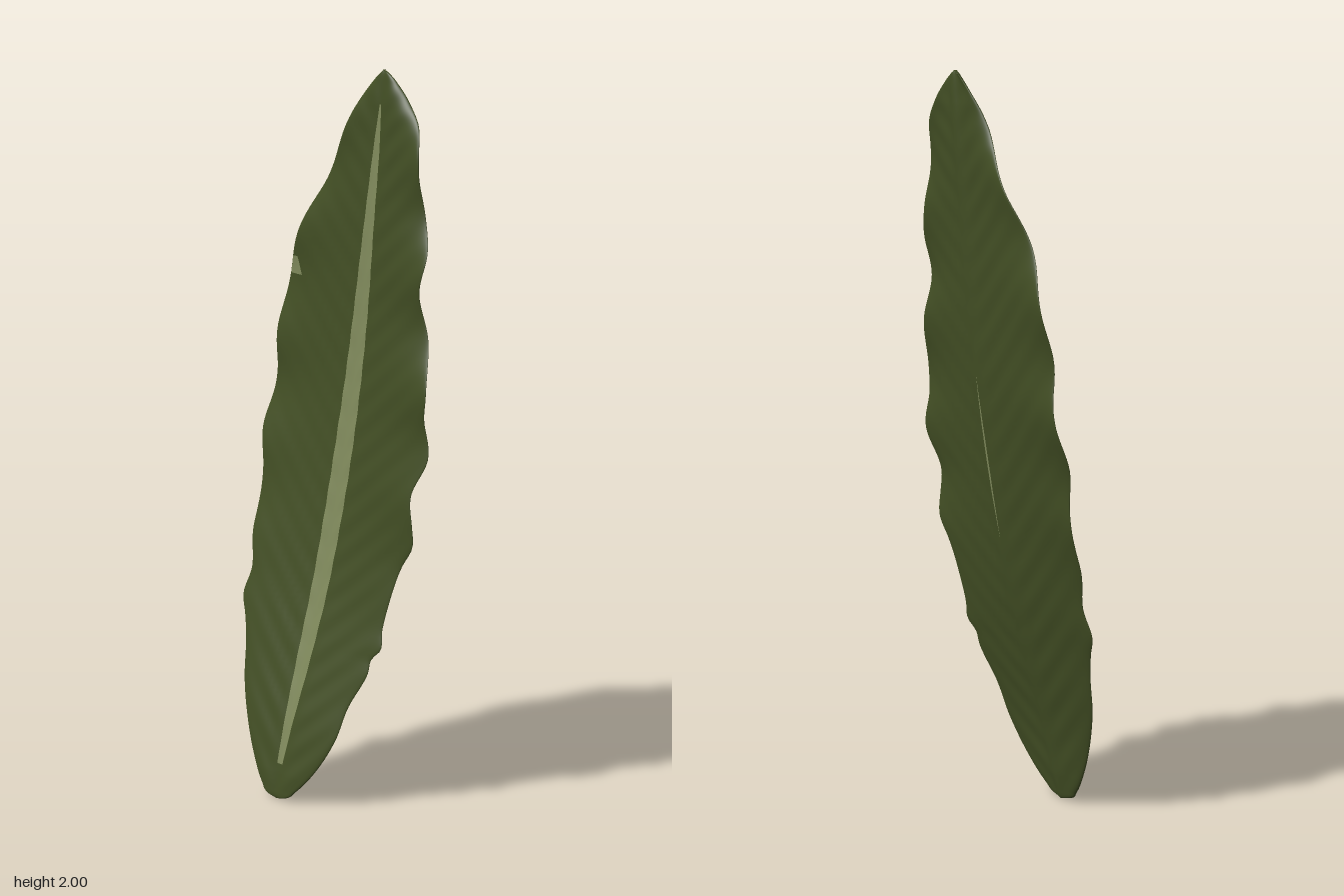
import * as THREE from 'three';

// Smooth lookup through rows of [y, value, value...]
function track(rows) {
  const n = rows[0].length - 1;
  const curve = new THREE.CubicInterpolant(rows.map(r => r[0]), rows.flatMap(r => r.slice(1)), n, new Float32Array(n));
  return y => Array.from(curve.evaluate(y));
}

// Leaf outline: height, left-hand x, right-hand x
const outline = track([
  [0, -0.085, -0.085], [0.008, -0.12, -0.05], [0.03, -0.145, -0.02], [0.1, -0.19, 0.045], [0.2, -0.235, 0.105],
  [0.3, -0.268, 0.135], [0.4, -0.285, 0.185], [0.44, -0.295, 0.19], [0.47, -0.305, 0.218], [0.52, -0.325, 0.215],
  [0.6, -0.307, 0.23], [0.7, -0.325, 0.26], [0.76, -0.325, 0.295], [0.82, -0.325, 0.295], [0.9, -0.325, 0.29],
  [1, -0.34, 0.333], [1.1, -0.325, 0.322], [1.17, -0.312, 0.333], [1.3, -0.303, 0.31], [1.42, -0.28, 0.283],
  [1.53, -0.235, 0.305], [1.62, -0.185, 0.28], [1.7, -0.13, 0.267], [1.8, -0.065, 0.262], [1.86, -0.028, 0.245],
  [1.91, 0.005, 0.205], [1.96, 0.045, 0.16], [1.99, 0.08, 0.125], [2, 0.1, 0.1],
]);
// Backward bend of the blade
const bend = track([[0, 0.125], [0.2, 0.09], [0.4, 0.045], [0.6, 0.003], [0.8, -0.027], [1, -0.05],
  [1.2, -0.067], [1.4, -0.077], [1.6, -0.083], [1.8, -0.091], [2, -0.095]]);
// Half-width of the pale midrib
const ribWidth = track([[0.1, 0.01], [0.2, 0.015], [0.4, 0.025], [0.7, 0.033], [1, 0.036], [1.4, 0.028],
  [1.6, 0.02], [1.8, 0.012], [1.91, 0.003]]);
const ribX = y => -0.09 + 0.1 * y + 0.008 * Math.sin(Math.PI * y / 2);

// Depth of the blade at x, y; side is 1 for the front and -1 for the back
function depth(x, y, side) {
  const [l, r] = outline(y);
  const w = Math.max(r - l, 1e-4);
  const s = THREE.MathUtils.clamp(2 * (x - l) / w - 1, -1, 1);
  const d = x - ribX(y);
  const upper = THREE.MathUtils.smoothstep(y, 0.4, 1.2);
  const tilt = 0.13 * upper * d;
  // ruffled margins, fine slanting veins and a keel behind the midrib
  const ruffle = 0.012 * upper * Math.abs(s) ** 3 * Math.sin(21 * y + (s > 0 ? 2.1 : 0.4));
  const vein = 0.0016 * (1 - s * s) * Math.sin(70 * (y - 0.9 * Math.abs(d))) * Math.min(1, Math.abs(d) / 0.06);
  const body = Math.sqrt(Math.max(0, 1 - s ** 4));
  const thick = 0.01 * Math.min(1, Math.sqrt(w / 0.2)) * body;
  const keel = Math.exp(-((d / 0.018) ** 2)) * body * (side > 0 ? -0.003 : -0.007);
  return bend(y)[0] + tilt + ruffle + vein + side * thick + keel;
}

function build(positions, index) {
  const g = new THREE.BufferGeometry();
  g.setAttribute('position', new THREE.Float32BufferAttribute(positions, 3));
  g.setIndex(index);
  g.computeVertexNormals();
  return g;
}

// Closed blade made of flat rings stacked from base to tip
function bladeGeometry(rows = 200, half = 36) {
  const pos = [], index = [], n = half * 2;
  for (let j = 0; j <= rows; j++) {
    const y = 1 - Math.cos(Math.PI * j / rows);
    const [l, r] = outline(y);
    for (let i = 0; i < n; i++) {
      const x = l + (r - l) * (1 - Math.cos(Math.PI * i / half)) / 2;
      pos.push(x, y, depth(x, y, i <= half ? 1 : -1));
    }
  }
  for (let j = 0; j < rows; j++) for (let i = 0; i < n; i++) {
    const a = j * n + i, b = j * n + (i + 1) % n;
    index.push(a, b, b + n, a, b + n, a + n);
  }
  return build(pos, index);
}

// Thin marking that follows the blade between two x limits
function patchGeometry(y0, y1, limits, side, rows, cols = 8) {
  const pos = [], index = [], n = cols + 1;
  for (let j = 0; j <= rows; j++) {
    const y = y0 + (y1 - y0) * j / rows;
    const [x0, x1] = limits(y);
    for (let i = 0; i <= cols; i++) {
      const x = x0 + (x1 - x0) * i / cols;
      pos.push(x, y, depth(x, y, side) + side * 0.002);
    }
  }
  for (let j = 0; j < rows; j++) for (let i = 0; i < cols; i++) {
    const a = j * n + i, b = a + 1, c = b + n, d = a + n;
    if (side > 0) index.push(a, b, c, a, c, d);
    else index.push(a, c, b, a, d, c);
  }
  return build(pos, index);
}

export function createModel() {
  const group = new THREE.Group();
  group.name = 'leaf';
  const green = new THREE.MeshStandardMaterial({ color: 0x424e24 });
  green.name = 'leaf green';
  const pale = new THREE.MeshStandardMaterial({ color: 0x808a5c });
  pale.name = 'pale green';
  const add = (name, geometry, material) => {
    const mesh = new THREE.Mesh(geometry, material);
    mesh.name = name;
    group.add(mesh);
  };

  add('blade', bladeGeometry(), green);
  add('midrib', patchGeometry(0.1, 1.91, y => {
    const [w] = ribWidth(y);
    return [ribX(y) - w, ribX(y) + w];
  }, 1, 120), pale);
  // Small pale spot near the margin
  add('marginSpot', patchGeometry(1.425, 1.475, y => [outline(y)[0] + 0.006, -0.212 - (y - 1.425) * 0.4], 1, 8), pale);
  // Slender pale line on the keel
  add('backRibLine', patchGeometry(0.74, 1.2, y => {
    const w = 0.004 * Math.sin(Math.PI * (y - 0.74) / 0.46);
    return [ribX(y) - w, ribX(y) + w];
  }, -1, 40, 2), pale);
  return group;
}
